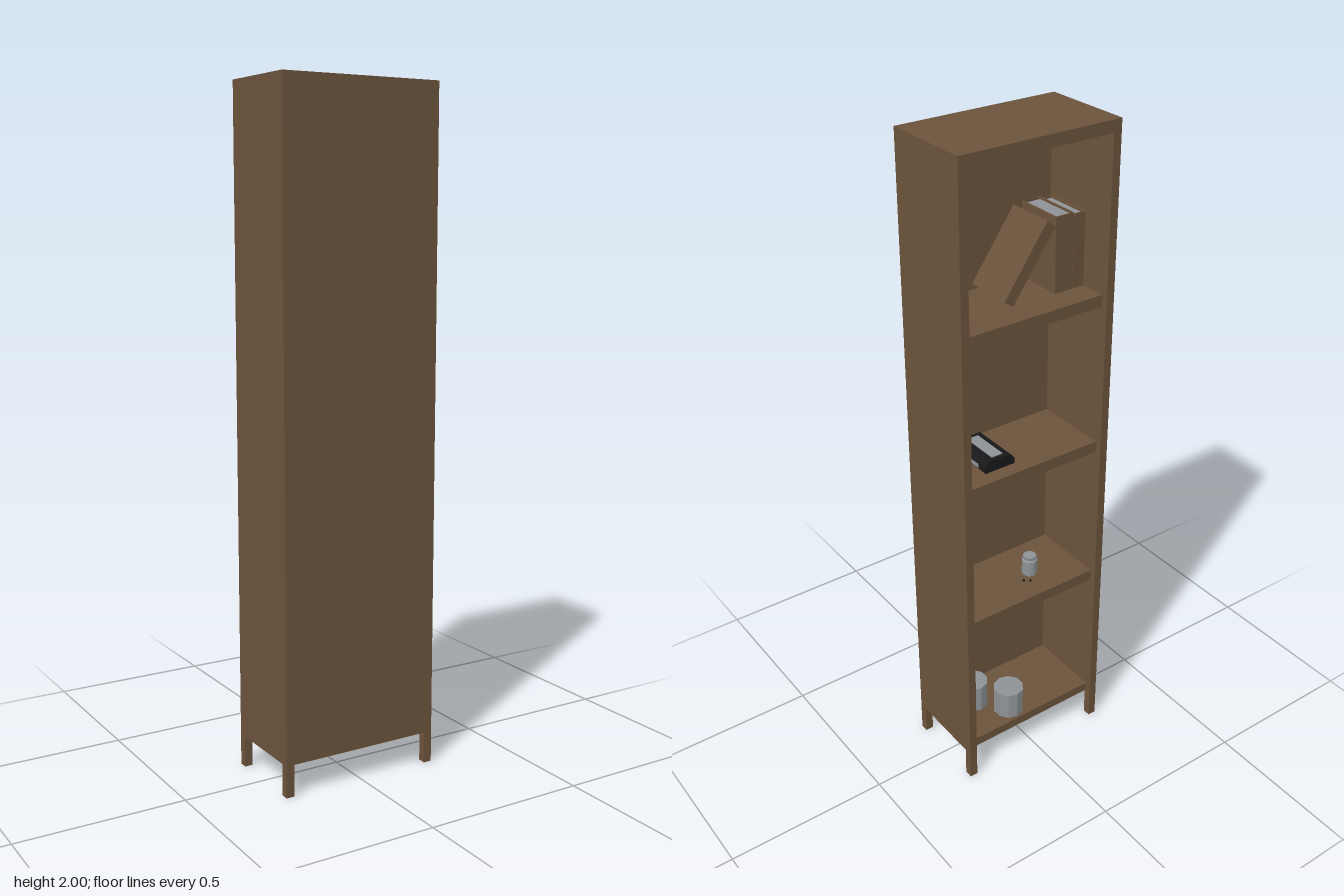
import * as THREE from 'three';

export function createModel() {
  const root = new THREE.Group();
  const mat = (name, color, flat = false) => {
    const m = new THREE.MeshStandardMaterial({ color, flatShading: flat });
    m.name = name;
    return m;
  };
  const wood = mat('wood', 0x6b533b);
  const metal = mat('grey', 0x8e9296, true);
  const dark = mat('black', 0x18181a);

  const add = (parent, name, geo, material, x, y, z) => {
    const mesh = new THREE.Mesh(geo, material);
    mesh.name = name;
    mesh.position.set(x, y, z);
    parent.add(mesh);
    return mesh;
  };
  const box = (parent, name, material, w, h, d, x, y, z) =>
    add(parent, name, new THREE.BoxGeometry(w, h, d), material, x, y + h / 2, z);

  // Case: closed on +z, open on -z
  const W = 0.5, D = 0.28, T = 0.025, base = 0.095;
  for (const s of [-1, 1]) {
    box(root, 'sidePanel', wood, T, 2 - base, D, s * (W - T) / 2, base, 0);
    for (const t of [-1, 1])
      box(root, 'leg', wood, T, base, T, s * (W - T) / 2, 0, t * (D - T) / 2);
  }
  const inner = W - 2 * T;
  box(root, 'closedPanel', wood, inner, 2 - base, T, 0, base, (D - T) / 2);
  box(root, 'topPanel', wood, inner, 0.035, D - T, 0, 1.965, -T / 2);

  // Shelves, set back slightly from the opening
  const tops = [0.125, 0.585, 1.05, 1.514];
  tops.forEach((top, i) => {
    const h = i === 0 ? top - base : 0.035;
    box(root, i === 0 ? 'bottomShelf' : 'shelf', wood, inner, h, 0.235, 0, top - h, -0.0025);
  });

  // Books: covers and spine around a grey page block, spine facing the opening
  const makeBook = (name, t, h, d) => {
    const book = new THREE.Group();
    book.name = name;
    const c = 0.004;
    for (const s of [-1, 1]) box(book, 'cover', wood, c, h, d, s * (t - c) / 2, 0, 0);
    box(book, 'spine', wood, t - 2 * c, h, c, 0, 0, -(d - c) / 2);
    box(book, 'pages', metal, t - 2 * c, h - 0.012, d - 0.012, 0, 0.006, 0);
    root.add(book);
    return book;
  };
  const bookZ = 0.035;
  makeBook('uprightBook', 0.038, 0.215, 0.15).position.set(-0.204, tops[3], bookZ);
  makeBook('uprightBook', 0.06, 0.22, 0.15).position.set(-0.154, tops[3], bookZ);
  const lean = 0.62, leanT = 0.035;
  const leaning = makeBook('leaningBook', leanT, 0.24, 0.15);
  leaning.rotation.z = lean;
  leaning.position.set(0.03, tops[3] + Math.sin(lean) * leanT / 2, bookZ);

  // Low black and grey object lying on the third shelf
  const low = new THREE.Group();
  low.name = 'lyingObject';
  const profile = new THREE.Shape([
    [-0.05, 0], [0.05, 0], [0.05, 0.018], [0.036, 0.034], [-0.036, 0.034], [-0.05, 0.018],
  ].map(p => new THREE.Vector2(...p)));
  const body = new THREE.ExtrudeGeometry(profile, { depth: 0.15, bevelEnabled: false });
  body.translate(0, 0, -0.075);
  add(low, 'lyingBody', body, dark, 0, 0, 0);
  box(low, 'topPlate', metal, 0.036, 0.004, 0.12, 0, 0.033, 0);
  for (const s of [-1, 1]) box(low, 'sidePlate', metal, 0.003, 0.012, 0.1, s * 0.05, 0.003, 0.01);
  low.position.set(0.085, tops[2], 0);
  root.add(low);

  // Small lidded jar with two tiny beads beside it
  const jar = [[0, 0], [0.024, 0], [0.024, 0.05], [0.019, 0.054], [0.021, 0.064], [0, 0.064]]
    .map(p => new THREE.Vector2(...p));
  add(root, 'smallJar', new THREE.LatheGeometry(jar, 12), metal, -0.067, tops[1], -0.015);
  for (const [x, z] of [[-0.024, -0.044], [-0.04, -0.056]])
    add(root, 'bead', new THREE.SphereGeometry(0.004, 8, 6), dark, x, tops[1] + 0.004, z);

  // Pair of faceted canisters on the bottom shelf
  for (const [x, z] of [[0.05, -0.065], [0.125, 0.025]])
    add(root, 'canister', new THREE.CylinderGeometry(0.048, 0.048, 0.09, 10), metal, x, tops[0] + 0.045, z);

  return root;
}
